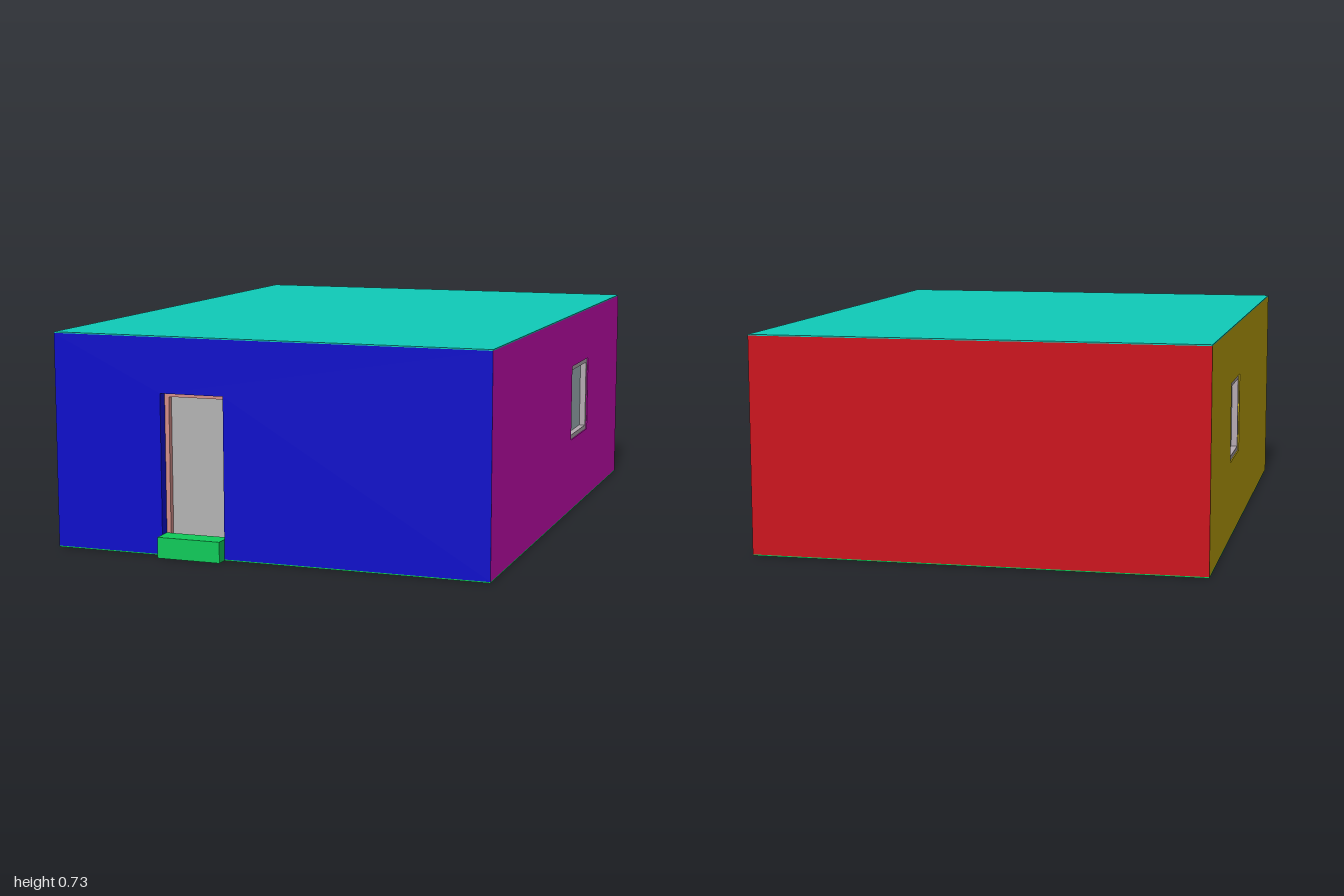
import * as THREE from 'three';

const H = 0.728, T = 0.08, ZC = -0.02, HALF_W = 0.75, HALF_D = 0.98, SKIN = 0.004;
const DOOR = { x0: -0.367, x1: -0.145, y0: SKIN, y1: 0.54 };

const mat = (color) => new THREE.MeshStandardMaterial({ color, flatShading: true });

function rect(target, r) {
  target.moveTo(r.x0, r.y0);
  target.lineTo(r.x1, r.y0);
  target.lineTo(r.x1, r.y1);
  target.lineTo(r.x0, r.y1);
  target.closePath();
  return target;
}

function box(name, x0, x1, y0, y1, z0, z1, material) {
  const mesh = new THREE.Mesh(new THREE.BoxGeometry(x1 - x0, y1 - y0, z1 - z0), material);
  mesh.position.set((x0 + x1) / 2, (y0 + y1) / 2, (z0 + z1) / 2);
  mesh.name = name;
  return mesh;
}

// Wall whose outer face lies on local z = 0, with mitred ends
function wall(name, half, material, hole) {
  const shape = rect(new THREE.Shape(), { x0: -half, x1: half, y0: SKIN, y1: H - SKIN });
  if (hole) shape.holes.push(rect(new THREE.Path(), hole));
  const geo = new THREE.ExtrudeGeometry(shape, { depth: T, bevelEnabled: false });
  geo.translate(0, 0, -T);
  const p = geo.attributes.position;
  for (let i = 0; i < p.count; i++) {
    const x = p.getX(i);
    if (p.getZ(i) < -T / 2 && Math.abs(x) > half - 0.001) p.setX(i, Math.sign(x) * (half - T));
  }
  geo.computeVertexNormals();
  const mesh = new THREE.Mesh(geo, material);
  mesh.name = name;
  return mesh;
}

// Rectangular ring filling an opening, front at local z
function frame(name, r, b, bottom, z, depth, material) {
  const shape = rect(new THREE.Shape(), r);
  shape.holes.push(rect(new THREE.Path(), { x0: r.x0 + b, x1: r.x1 - b, y0: r.y0 + bottom, y1: r.y1 - b }));
  const mesh = new THREE.Mesh(new THREE.ExtrudeGeometry(shape, { depth, bevelEnabled: false }), material);
  mesh.position.z = z - depth;
  mesh.name = name;
  return mesh;
}

export function createModel() {
  const model = new THREE.Group();
  model.name = 'house';
  const green = mat(0x0fcc5a);

  // Front wall with recessed door
  const front = new THREE.Group();
  front.name = 'frontSide';
  front.position.z = ZC + HALF_D;
  front.add(
    wall('frontWall', HALF_W, mat(0x0d0dcc), DOOR),
    frame('doorFrame', DOOR, 0.015, 0.015, -0.035, 0.04, mat(0xd48f8a)),
    box('door', DOOR.x0 + 0.015, DOOR.x1 - 0.015, 0.019, DOOR.y1 - 0.015, -0.075, -0.055, mat(0xb4b4b4))
  );
  model.add(front);

  // Back wall
  const back = wall('backWall', HALF_W, mat(0xcc0d19));
  back.rotation.y = Math.PI;
  back.position.z = ZC - HALF_D;
  model.add(back);

  // Side walls, each with one window
  for (const [side, s, color] of [['left', 1, 0xcc0db6], ['right', -1, 0xccb00d]]) {
    const group = new THREE.Group();
    group.name = side + 'Side';
    const r = { x0: s * 0.275 - 0.136, x1: s * 0.275 + 0.136, y0: 0.266, y1: 0.538 };
    group.add(
      wall(side + 'Wall', HALF_D, mat(color), r),
      frame(side + 'WindowFrame', r, 0.016, 0.016, -0.004, 0.07, mat(0xb5aab2)),
      box(side + 'WindowGlass', r.x0 + 0.016, r.x1 - 0.016, r.y0 + 0.016, r.y1 - 0.016, -0.035, -0.025, mat(0xa9bcc2))
    );
    group.rotation.y = s * Math.PI / 2;
    group.position.set(s * HALF_W, 0, ZC);
    model.add(group);
  }

  // Thin roof and floor
  const z0 = ZC - HALF_D, z1 = ZC + HALF_D;
  model.add(
    box('roof', -HALF_W, HALF_W, H - SKIN, H, z0, z1, mat(0x0fccba)),
    box('floor', -HALF_W, HALF_W, 0, SKIN, z0, z1, green)
  );

  // Doorstep reaching into the opening
  model.add(box('doorstep', DOOR.x0 + 0.001, DOOR.x1 - 0.001, 0, 0.07, z1 - 0.034, 1, green));
  return model;
}
